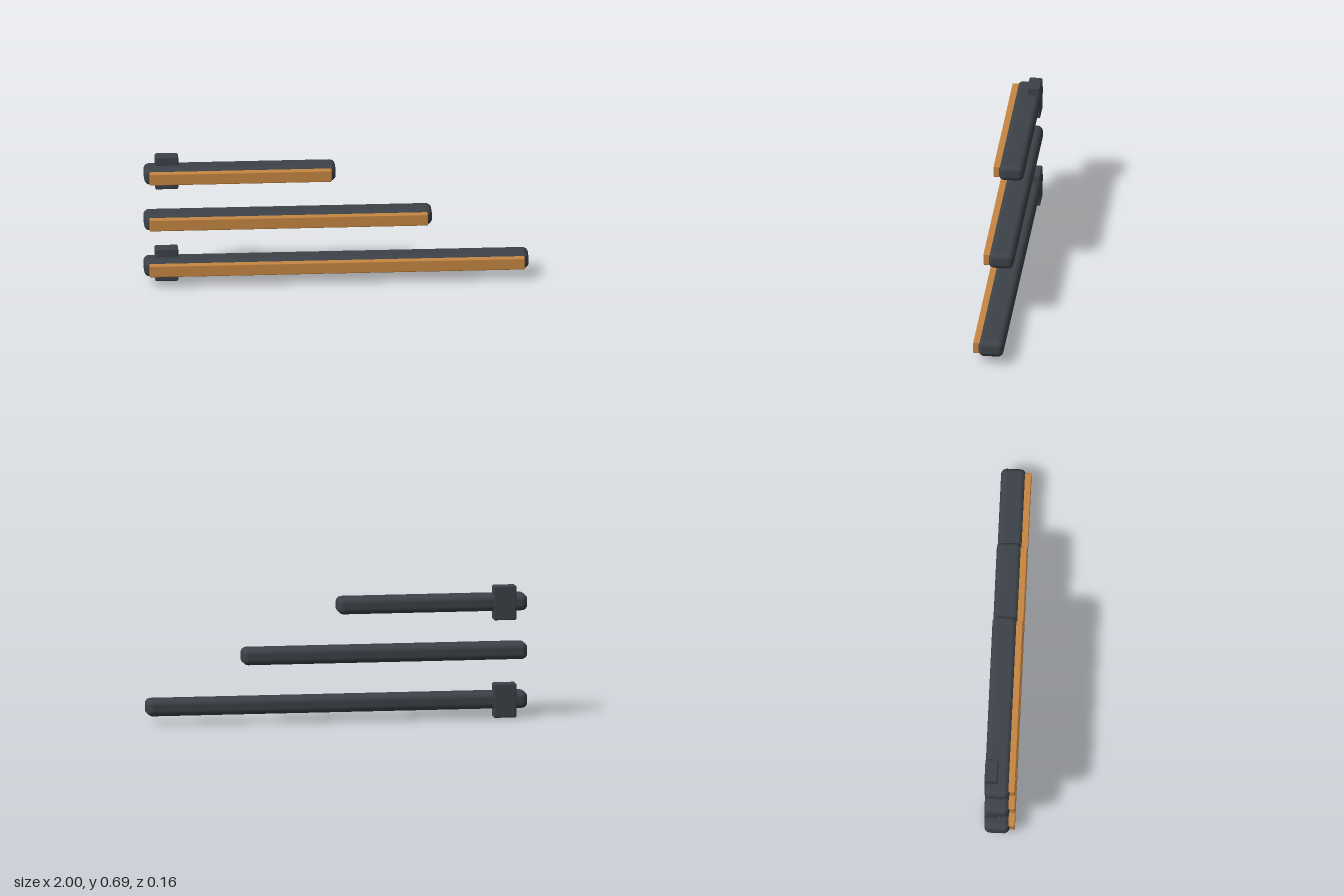
import * as THREE from 'three';
import { RoundedBoxGeometry } from 'three/addons/geometries/RoundedBoxGeometry.js';

const charcoal = new THREE.MeshStandardMaterial({ name: 'charcoal', color: 0x3c4248 });
const amber = new THREE.MeshStandardMaterial({ name: 'amber', color: 0xc68642 });

// Rounded block given by its limits on each axis
function block(name, material, [x0, x1], [y0, y1], [z0, z1], radius, segments) {
  const geometry = new RoundedBoxGeometry(x1 - x0, y1 - y0, z1 - z0, segments, radius);
  const mesh = new THREE.Mesh(geometry, material);
  mesh.name = name;
  mesh.position.set((x0 + x1) / 2, (y0 + y1) / 2, (z0 + z1) / 2);
  return mesh;
}

// One bar: rounded body, front strip and an optional rear bracket
function makeBar(name, end, y, hasBracket) {
  const bar = new THREE.Group();
  bar.name = name;
  bar.position.y = y;
  bar.add(block('body', charcoal, [-1, end], [-0.0435, 0.0435], [-0.0785, 0.052], 0.03, 5));
  bar.add(block('frontStrip', amber, [-0.975, end - 0.023], [-0.0315, 0.0315], [0.03, 0.08], 0.005, 2));
  if (hasBracket) {
    bar.add(block('rearBracket', charcoal, [-0.94, -0.82], [-0.09, 0.09], [-0.08, -0.012], 0.008, 3));
  }
  return bar;
}

export function createModel() {
  const model = new THREE.Group();
  model.name = 'barSet';
  model.add(
    makeBar('longBar', 1, 0.091, true),
    makeBar('middleBar', 0.497, 0.3475, false),
    makeBar('shortBar', -0.004, 0.603, true),
  );
  return model;
}
